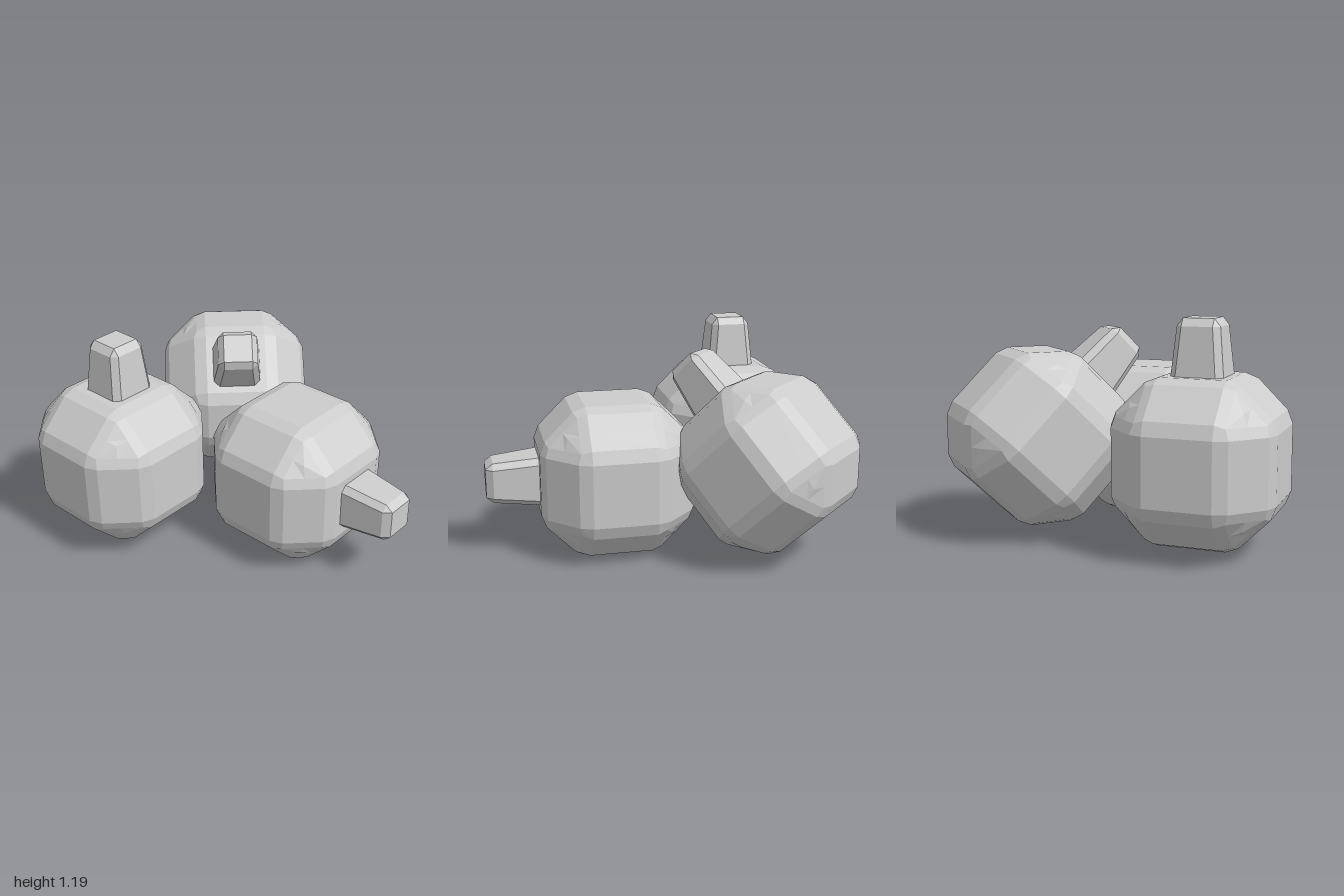
import * as THREE from 'three';

// Give every triangle its own normal for a faceted look
function faceted(geo) {
  const g = geo.index ? geo.toNonIndexed() : geo;
  g.computeVertexNormals();
  return g;
}

// Double-chamfered cube: each vertex is placed by how near it lies to the cube's edges.
// Key = sorted grid levels, values = distance for level 0, 1 and 2.
const BEVEL = {
  '002': [0.175, 0, 0.427],
  '012': [0.175, 0.245, 0.40],
  '112': [0, 0.228, 0.385],
  '022': [0.175, 0, 0.3225],
  '122': [0, 0.228, 0.3065],
  '222': [0, 0, 0.285],
};

function bodyGeometry() {
  const g = new THREE.BoxGeometry(5, 5, 5, 5, 5, 5);
  const p = g.attributes.position;
  for (let i = 0; i < p.count; i++) {
    const v = [p.getX(i), p.getY(i), p.getZ(i)];
    const levels = v.map(c => Math.round(Math.abs(c) - 0.5));
    const table = BEVEL[[...levels].sort().join('')];
    p.setXYZ(i, ...v.map((c, k) => Math.sign(c) * table[levels[k]]));
  }
  return faceted(g);
}

// Tapered square stem with cut corners and a bevelled tip
function stemGeometry() {
  // height, half width, half length of the flat side
  const rings = [[0.30, 0.149, 0.114], [0.675, 0.112, 0.08], [0.715, 0.08, 0.08]];
  const pos = [], index = [];
  for (const [y, w, f] of rings) {
    const outline = [[w, f], [f, w], [-f, w], [-w, f], [-w, -f], [-f, -w], [f, -w], [w, -f]];
    for (const [x, z] of outline) pos.push(x, y, z);
  }
  for (let r = 0; r < 2; r++) {
    for (let i = 0; i < 8; i++) {
      const a = r * 8 + i, b = r * 8 + (i + 1) % 8;
      index.push(a, a + 8, b);
      // the tip is square, so cut corners end in a triangle
      if (r === 0 || i % 2 === 1) index.push(b, a + 8, b + 8);
    }
  }
  index.push(16, 20, 18, 16, 22, 20);
  const g = new THREE.BufferGeometry();
  g.setAttribute('position', new THREE.Float32BufferAttribute(pos, 3));
  g.setIndex(index);
  return faceted(g);
}

export function createModel() {
  const model = new THREE.Group();
  const grey = new THREE.MeshStandardMaterial({ color: 0xcccccc });
  grey.name = 'light grey';
  const bodyGeo = bodyGeometry(), stemGeo = stemGeometry();

  const addFruit = (name, position, rotation) => {
    const fruit = new THREE.Group();
    fruit.name = name;
    const body = new THREE.Mesh(bodyGeo, grey);
    body.name = 'body';
    const stem = new THREE.Mesh(stemGeo, grey);
    stem.name = 'stem';
    fruit.add(body, stem);
    fruit.position.set(...position);
    fruit.rotation.set(...rotation, 'YXZ');
    model.add(fruit);
  };

  addFruit('uprightFruit', [-0.525, 0.478, 0.497], [0, 0, 0]);
  addFruit('sidewaysFruit', [0.286, 0.428, -0.07], [0, 0, -Math.PI / 2]);
  addFruit('tiltedFruit', [-0.505, 0.544, -0.43], [Math.PI / 4, Math.PI / 4, 0]);
  return model;
}
